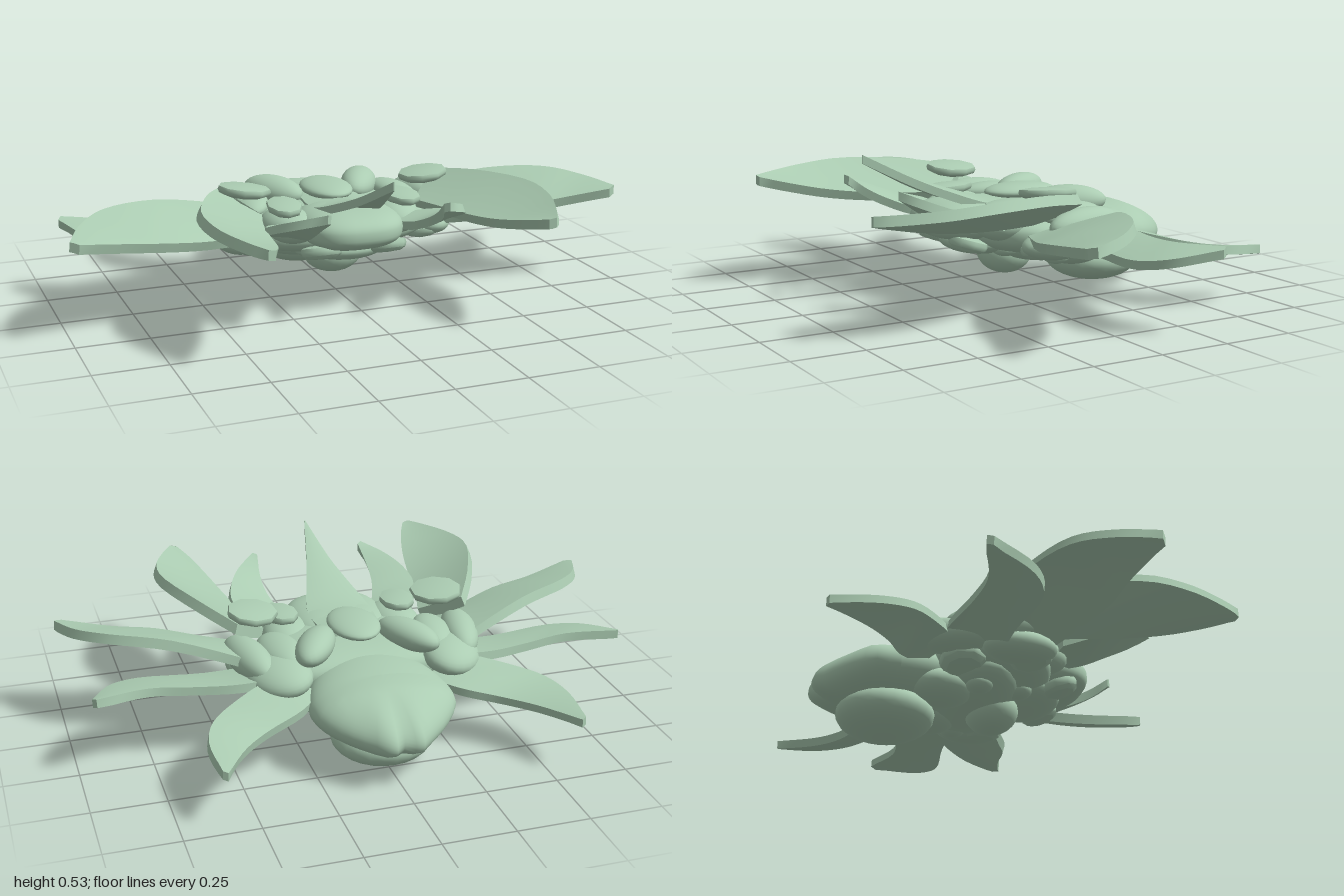
import * as THREE from 'three';
import { toCreasedNormals } from 'three/addons/utils/BufferGeometryUtils.js';

const green = new THREE.MeshStandardMaterial({ color: 0xabccb2 });
green.name = 'paleGreen';

const v = (p, s = 1) => new THREE.Vector3(p[0] * s, p[1], p[2]);

// Curved slab between a left and a right edge, running from root to tip
function bladeGeometry(left, right, thick, crown) {
  const steps = 16, pos = [];
  const a = new THREE.CatmullRomCurve3(left), b = new THREE.CatmullRomCurve3(right);
  const rings = [];
  for (let i = 0; i <= steps; i++) {
    const A = a.getPoint(i / steps), B = b.getPoint(i / steps);
    const M = A.clone().lerp(B, 0.5);
    M.y += crown * A.distanceTo(B);
    // thickness leans with the tilt of the blade
    const across = B.clone().sub(A);
    const run = Math.max(Math.hypot(across.x, across.z), 0.05);
    const lean = THREE.MathUtils.clamp(across.y / run, -0.5, 0.5) * thick / run;
    const low = (p) => new THREE.Vector3(p.x + across.x * lean, p.y - thick, p.z + across.z * lean);
    rings.push([A, M, B, low(B), low(M), low(A)]);
  }
  const tri = (...ps) => ps.forEach((p) => pos.push(p.x, p.y, p.z));
  for (let i = 0; i < steps; i++) {
    const r = rings[i], q = rings[i + 1];
    for (let j = 0; j < 6; j++) {
      const k = (j + 1) % 6;
      tri(r[j], r[k], q[j]);
      tri(r[k], q[k], q[j]);
    }
  }
  const s = rings[0], e = rings[steps];
  for (let j = 1; j < 5; j++) {
    tri(s[0], s[j + 1], s[j]);
    tri(e[0], e[j], e[j + 1]);
  }
  const g = new THREE.BufferGeometry();
  g.setAttribute('position', new THREE.Float32BufferAttribute(pos, 3));
  return toCreasedNormals(g, 0.6);
}

// Sphere with its vertices moved by a rule
function shapedSphere(rule) {
  const g = new THREE.SphereGeometry(1, 40, 28), p = g.attributes.position;
  for (let i = 0; i < p.count; i++) p.setXYZ(i, ...rule(p.getX(i), p.getY(i), p.getZ(i)));
  g.computeVertexNormals();
  return g;
}

export function createModel() {
  const model = new THREE.Group();
  model.name = 'leafyCreature';

  const add = (name, geo) => {
    const m = new THREE.Mesh(geo, green);
    m.name = name;
    model.add(m);
    return m;
  };
  const place = (m, c, r, rot = [0, 0, 0]) => {
    m.position.set(...c);
    m.scale.set(...r);
    m.rotation.set(...rot);
  };
  const lump = (name, c, r, rot) => place(add(name, new THREE.SphereGeometry(1, 24, 16)), c, r, rot);
  // Lump with squarer shoulders
  const boxy = (n) => Math.sign(n) * Math.abs(n) ** 0.78;
  const pillow = (name, c, r, rot) =>
    place(add(name, shapedSphere((x, y, z) => [boxy(x), boxy(y), boxy(z)].map((n) => n * 0.96))), c, r, rot);
  // Faceted disc with a domed top and base
  const disc = (name, c, r, rot) => {
    const profile = [[0, -1], [0.7, -0.85], [0.94, -0.4], [1, 0.2], [0.96, 0.7], [0.6, 0.95], [0, 1]];
    const g = new THREE.LatheGeometry(profile.map((p) => new THREE.Vector2(...p)), 9);
    place(add(name, toCreasedNormals(g, 0.75)), c, r, rot);
  };
  const pair = (make, name, c, r, rot = [0, 0, 0]) => {
    make(name + 'Left', c, r, rot);
    make(name + 'Right', [-c[0], c[1], c[2]], r, [rot[0], -rot[1], -rot[2]]);
  };
  const bladePair = (name, left, right, thick, crown = 0.03) => {
    add(name + 'Left', bladeGeometry(left.map((p) => v(p)), right.map((p) => v(p)), thick, crown));
    add(name + 'Right', bladeGeometry(right.map((p) => v(p, -1)), left.map((p) => v(p, -1)), thick, crown));
  };

  // Abdomen: egg shape rising into the thorax, with a notch between two rear lobes
  add('abdomen', shapedSphere((x, y, z) => {
    const rear = Math.max(0, -z - 0.35) / 0.65, front = Math.max(0, z);
    const lobe = Math.exp(-(((Math.abs(x) - 0.26) / 0.18) ** 2)) - 0.8 * Math.exp(-((x / 0.12) ** 2));
    const dz = 0.09 * rear * lobe;
    return [
      x * 0.25 * (1 - 0.12 * front) * (1 - 0.22 * rear),
      y * 0.105 + 0.197 - 0.035 * rear + 0.035 * front,
      (z - dz) * (z > 0 ? 0.31 : 0.26) - 0.41,
    ];
  }));
  lump('belly', [0, 0.085, -0.415], [0.175, 0.085, 0.172]);
  pair(lump, 'bellyFold', [0.12, 0.155, -0.25], [0.11, 0.06, 0.12]);

  // Thorax and head
  pillow('thorax', [0, 0.245, -0.08], [0.37, 0.085, 0.24]);
  pillow('head', [0, 0.28, 0.12], [0.188, 0.073, 0.198]);
  lump('chin', [0, 0.14, -0.035], [0.11, 0.077, 0.095]);
  lump('throat', [0, 0.2, 0.08], [0.16, 0.05, 0.13]);
  lump('breast', [0, 0.19, -0.12], [0.3, 0.075, 0.17]);
  pair(lump, 'cheek', [0.2, 0.28, 0.06], [0.09, 0.06, 0.13], [0, -0.2, 0]);
  pair(lump, 'rearShoulder', [0.31, 0.265, -0.24], [0.105, 0.06, 0.14], [0, 0.4, -0.2]);
  pair(lump, 'frontShoulder', [0.385, 0.29, -0.13], [0.065, 0.06, 0.16], [0, 0.2, -0.2]);
  pair(lump, 'innerShoulder', [0.28, 0.31, -0.14], [0.07, 0.04, 0.13], [0, 0.15, -0.2]);
  pair(lump, 'sideRib', [0.36, 0.225, -0.03], [0.085, 0.05, 0.13]);
  pair(lump, 'lowerKnob', [0.12, 0.18, 0.03], [0.05, 0.03, 0.05]);
  pair(lump, 'rearKnob', [0.2, 0.15, -0.13], [0.05, 0.03, 0.05]);
  pair(lump, 'eyeLobe', [0.168, 0.338, -0.2], [0.065, 0.053, 0.135], [0, -0.5, -0.2]);

  // Discs on the back and under the body
  pair(disc, 'outerPad', [0.34, 0.4, -0.005], [0.09, 0.021, 0.1], [0, -0.4, 0.12]);
  pair(disc, 'innerPad', [0.22, 0.348, 0.075], [0.062, 0.02, 0.095], [0.05, 0.1, 0]);
  pair(disc, 'underPad', [0.12, 0.205, 0.18], [0.075, 0.025, 0.07], [-0.3, 0, 0]);
  pair(disc, 'sideUnderPad', [0.34, 0.205, 0.01], [0.08, 0.025, 0.08], [0, 0, 0.2]);
  pair(disc, 'rearUnderPad', [0.265, 0.195, -0.2], [0.085, 0.03, 0.085], [0, 0, 0.2]);

  // Central horn with its crest
  const horn = [[0.1, 0.335, -0.12], [0.115, 0.34, 0.08], [0.08, 0.385, 0.22], [0.045, 0.435, 0.34], [0.002, 0.527, 0.52]];
  add('horn', bladeGeometry(horn.map((q) => v(q)), horn.map((q) => v(q, -1)), 0.03, 0.08));
  lump('crest', [0, 0.358, -0.1], [0.09, 0.03, 0.138]);

  // Blades: left edge first, then right edge, both from root to tip
  bladePair('frontBlade',
    [[0.41, 0.4, -0.08], [0.505, 0.425, 0.1], [0.59, 0.435, 0.34], [0.582, 0.425, 0.5], [0.53, 0.415, 0.64], [0.49, 0.41, 0.715]],
    [[0.29, 0.32, 0.04], [0.33, 0.325, 0.18], [0.36, 0.335, 0.34], [0.39, 0.355, 0.49], [0.43, 0.385, 0.63], [0.465, 0.405, 0.71]], 0.033, -0.04);
  bladePair('sideBlade',
    [[0.34, 0.3, -0.22], [0.64, 0.375, -0.095], [0.84, 0.385, 0.0], [0.94, 0.37, 0.11], [0.998, 0.355, 0.24]],
    [[0.3, 0.255, 0.05], [0.5, 0.275, 0.14], [0.65, 0.3, 0.195], [0.8, 0.32, 0.215], [0.97, 0.348, 0.258]], 0.033);
  bladePair('rearSideBlade',
    [[0.3, 0.28, -0.29], [0.46, 0.27, -0.28], [0.6, 0.27, -0.255], [0.75, 0.28, -0.24], [0.93, 0.292, -0.295]],
    [[0.3, 0.24, -0.08], [0.53, 0.235, -0.085], [0.76, 0.24, -0.065], [0.86, 0.255, -0.12], [0.942, 0.285, -0.275]], 0.03);
  bladePair('rearBlade',
    [[0.2, 0.23, -0.34], [0.27, 0.22, -0.42], [0.41, 0.195, -0.49], [0.5, 0.19, -0.57], [0.595, 0.195, -0.718]],
    [[0.3, 0.28, -0.24], [0.47, 0.25, -0.34], [0.58, 0.23, -0.44], [0.618, 0.215, -0.55], [0.61, 0.2, -0.71]], 0.03);
  bladePair('jawBlade',
    [[0.3, 0.31, 0.14], [0.35, 0.34, 0.26], [0.335, 0.37, 0.34], [0.29, 0.4, 0.42], [0.215, 0.43, 0.492]],
    [[0.13, 0.29, 0.12], [0.18, 0.3, 0.24], [0.205, 0.33, 0.32], [0.21, 0.37, 0.4], [0.2, 0.425, 0.48]], 0.03);

  return model;
}
